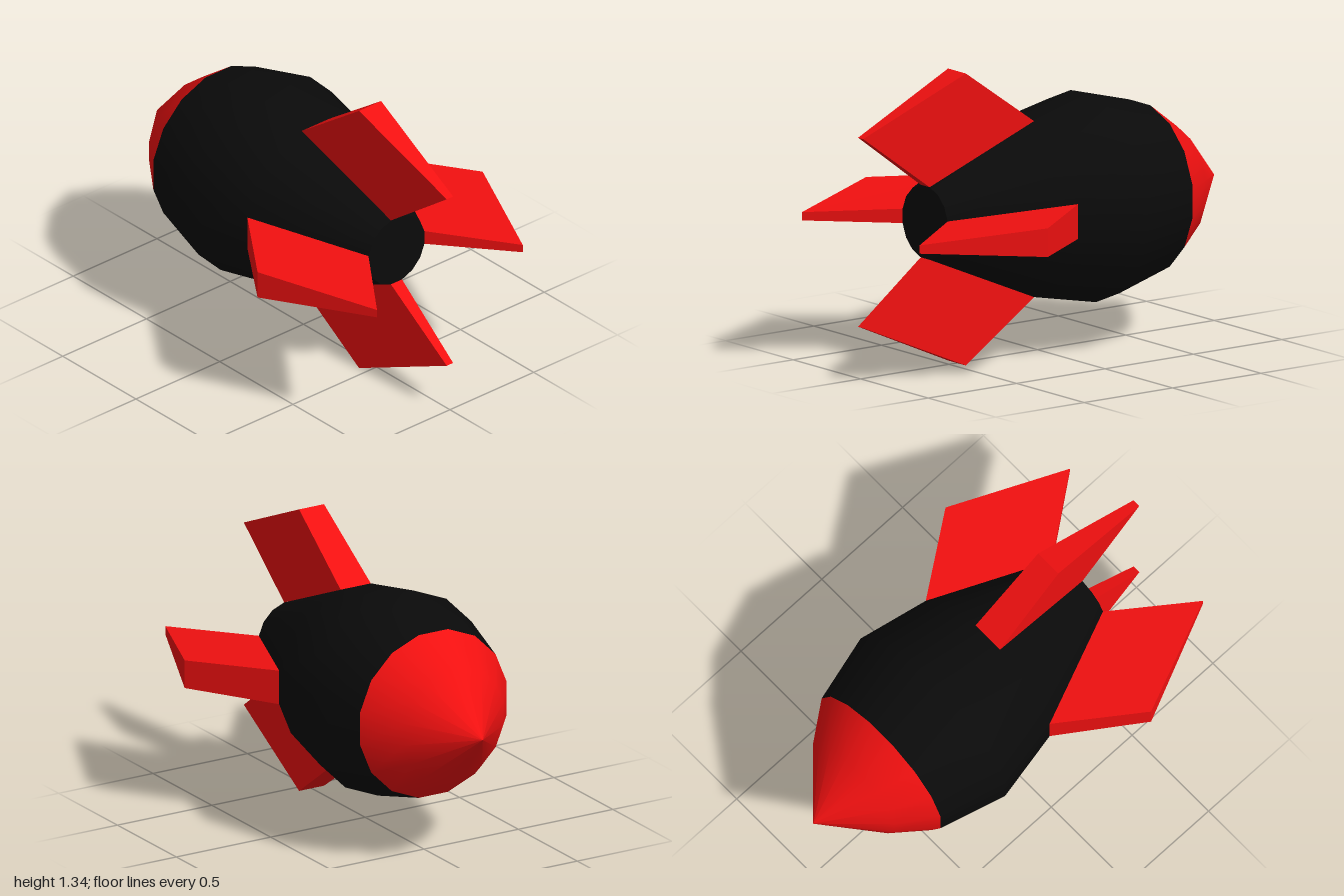
import * as THREE from 'three';

const SIDES = 16;
const AXIS_Y = 0.675; // height of the long axis

const black = new THREE.MeshStandardMaterial({ color: 0x0a0a0a });
const red = new THREE.MeshStandardMaterial({ color: 0xf01010 });
const redFlat = new THREE.MeshStandardMaterial({ color: 0xf01010, flatShading: true });

// Smooth 16-sided hull section from [radius, z] pairs, running from the tail to the nose
function hullSection(name, profile, material) {
  const points = profile.map(([r, z]) => new THREE.Vector2(r, -z));
  const geometry = new THREE.LatheGeometry(points, SIDES, Math.PI / SIDES);
  geometry.rotateX(-Math.PI / 2);
  const mesh = new THREE.Mesh(geometry, material);
  mesh.name = name;
  return mesh;
}

// Swept fin rising from a hull facet; corners are [z, distance from axis, half thickness]
function finGeometry() {
  const corners = [
    [0.08, 0.405, 0.08],    // root front
    [0.455, 0.672, 0.066],  // tip front
    [1.0, 0.435, 0.019],    // tip rear
    [0.635, 0.167, 0.033],  // root rear
  ];
  const at = (i, side) => [side * corners[i][2], corners[i][1], corners[i][0]];
  const positions = [];
  const quad = (a, b, c, d) => positions.push(...a, ...b, ...c, ...a, ...c, ...d);

  quad(at(0, 1), at(1, 1), at(2, 1), at(3, 1));
  quad(at(3, -1), at(2, -1), at(1, -1), at(0, -1));
  for (let i = 0; i < 4; i++) {
    const j = (i + 1) % 4;
    quad(at(j, 1), at(i, 1), at(i, -1), at(j, -1));
  }
  const geometry = new THREE.BufferGeometry();
  geometry.setAttribute('position', new THREE.Float32BufferAttribute(positions, 3));
  geometry.computeVertexNormals();
  return geometry;
}

export function createModel() {
  const model = new THREE.Group();
  model.name = 'rocket';

  // Everything is arranged around the long axis
  const rocket = new THREE.Group();
  rocket.name = 'hullAndFins';
  rocket.position.y = AXIS_Y;
  model.add(rocket);

  // Barrel-shaped body
  rocket.add(hullSection('body',
    [[0.17, 0.635], [0.413, 0.08], [0.481, -0.26], [0.396, -0.58]], black));

  // Pointed nose
  rocket.add(hullSection('noseCone',
    [[0.396, -0.58], [0.27, -0.75], [0, -1]], red));

  // Flat tail cap
  const cap = new THREE.Mesh(new THREE.CircleGeometry(0.17, SIDES, Math.PI / SIDES), black);
  cap.name = 'tailCap';
  cap.position.z = 0.635;
  rocket.add(cap);

  // Four fins, a quarter turn apart
  const geometry = finGeometry();
  ['topFin', 'rightFin', 'bottomFin', 'leftFin'].forEach((name, i) => {
    const fin = new THREE.Mesh(geometry, redFlat);
    fin.name = name;
    fin.rotation.z = i * Math.PI / 2;
    rocket.add(fin);
  });

  return model;
}
